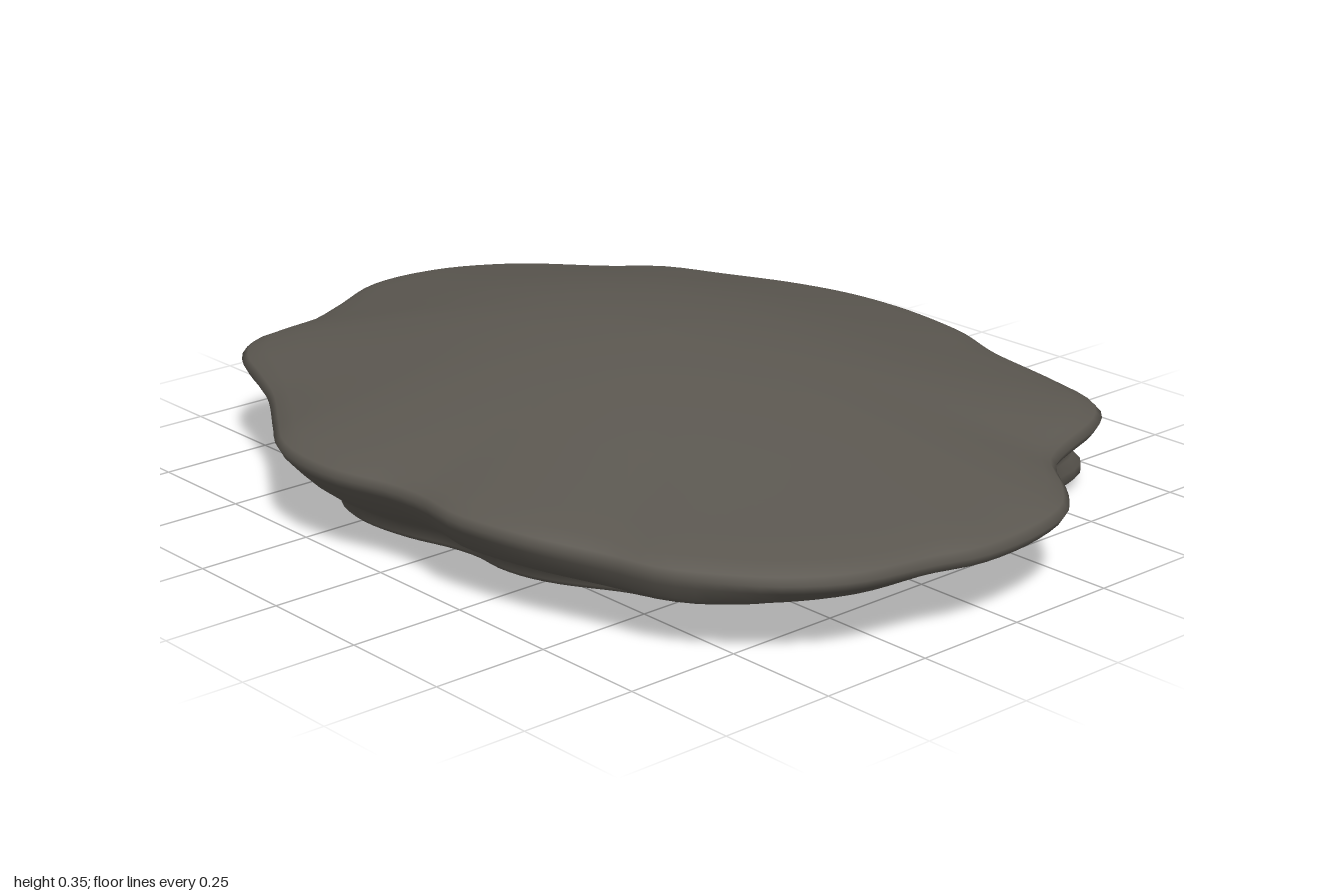
import * as THREE from 'three';

// Rim outline as [x, z], going from the left side round by the front
const RIM = [
  [1.0, 0.08], [0.975, 0.2], [0.94, 0.37], [0.87, 0.48], [0.79, 0.55], [0.68, 0.62], [0.58, 0.65],
  [0.39, 0.72], [0.23, 0.75], [0.12, 0.74], [0.03, 0.75], [-0.1, 0.785], [-0.22, 0.79], [-0.31, 0.77],
  [-0.41, 0.71], [-0.54, 0.63], [-0.66, 0.58], [-0.78, 0.53], [-0.85, 0.46], [-0.87, 0.3], [-0.92, 0.18],
  [-0.99, 0.03], [-0.99, -0.16], [-0.91, -0.32], [-0.73, -0.48], [-0.64, -0.58], [-0.5, -0.65],
  [-0.32, -0.74], [-0.1, -0.79], [0.13, -0.77], [0.3, -0.71], [0.5, -0.68], [0.64, -0.64], [0.7, -0.57],
  [0.78, -0.35], [0.9, -0.25], [0.97, -0.16],
];

// Flank by direction: [degrees, rim height, waist scale, foot scale]
const FLANK = [
  [0, 0.16, 0.84, 0.69], [20, 0.165, 0.9, 0.67], [40, 0.165, 0.96, 0.75], [70, 0.175, 0.94, 0.8],
  [95, 0.18, 0.92, 0.81], [120, 0.185, 0.92, 0.84], [142, 0.195, 0.9, 0.87], [160, 0.2, 0.91, 0.94],
  [180, 0.205, 0.92, 0.92], [198, 0.2, 0.9, 0.86], [222, 0.2, 0.94, 0.98], [250, 0.195, 0.92, 0.96],
  [275, 0.19, 0.94, 0.98], [295, 0.19, 0.97, 1.07], [308, 0.185, 0.95, 1.01], [322, 0.18, 0.9, 0.9],
  [337, 0.17, 0.91, 0.92], [350, 0.165, 0.86, 0.76], [360, 0.16, 0.84, 0.69],
];

function flankAt(degrees) {
  const i = Math.max(1, FLANK.findIndex((f) => f[0] >= degrees));
  const a = FLANK[i - 1], b = FLANK[i];
  const t = THREE.MathUtils.smoothstep(degrees, a[0], b[0]);
  return [1, 2, 3].map((k) => THREE.MathUtils.lerp(a[k], b[k], t));
}

// One spoke from the crown over the rim and down to the underside, as points
function spokeAt(rimPoint) {
  const angle = Math.atan2(rimPoint.z, rimPoint.x);
  const [rim, waist, foot] = flankAt((THREE.MathUtils.radToDeg(angle) + 360) % 360);

  // The crown eases from a smooth oval in the middle to the uneven rim
  const oval = new THREE.Vector3(0.97 * Math.cos(angle), 0, 0.77 * Math.sin(angle));
  const crown = [
    [0, 0.345], [0.15, 0.342], [0.32, 0.329], [0.48, 0.307], [0.63, 0.279],
    [0.77, 0.25], [0.88, 0.228], [0.95, 0.212],
  ].map(([r, y]) => {
    const p = oval.clone().lerp(rimPoint, r ** 3).multiplyScalar(r);
    p.y = y + (rim - 0.185) * r ** 3 - 0.015 * Math.cos(angle) * Math.sin(Math.PI * r);
    return p;
  });

  const flank = [
    [0.985, rim + 0.013], [1, rim], [0.987, rim - 0.02], [(1 + waist) / 2, rim - 0.045],
    [waist, 0.105], [(waist + foot) / 2, 0.075],
    [foot, 0.05], [foot, 0.03], [foot - 0.015, 0.018], [foot - 0.045, 0.01],
    [foot - 0.1, 0.006], [foot * 0.5, 0], [0, 0],
  ].map(([r, y]) => new THREE.Vector3(rimPoint.x * r, y, rimPoint.z * r));
  return [...crown, ...flank];
}

function buildStone(segments) {
  const curve = new THREE.CatmullRomCurve3(RIM.map(([x, z]) => new THREE.Vector3(x, 0, z)), true);
  const spokes = curve.getSpacedPoints(segments).slice(0, segments).map(spokeAt);
  const rings = spokes[0].length;
  const positions = [], index = [];
  for (let k = 0; k < rings; k++) {
    for (let i = 0; i < segments; i++) {
      positions.push(...spokes[i][k].toArray());
      if (k === rings - 1) continue;
      const a = k * segments + i, b = k * segments + (i + 1) % segments;
      const c = a + segments, d = b + segments;
      if (k > 0) index.push(a, b, c);
      if (k === 0) index.push(a, d, c);
      else if (k < rings - 2) index.push(b, d, c);
    }
  }
  const geometry = new THREE.BufferGeometry();
  geometry.setAttribute('position', new THREE.Float32BufferAttribute(positions, 3));
  geometry.setIndex(index);
  geometry.computeVertexNormals();
  return geometry;
}

export function createModel() {
  const group = new THREE.Group();
  group.name = 'flatRock';
  const material = new THREE.MeshStandardMaterial({ color: 0x5b5750 });
  material.name = 'darkStone';
  const stone = new THREE.Mesh(buildStone(144), material);
  stone.name = 'stone';
  group.add(stone);
  return group;
}
